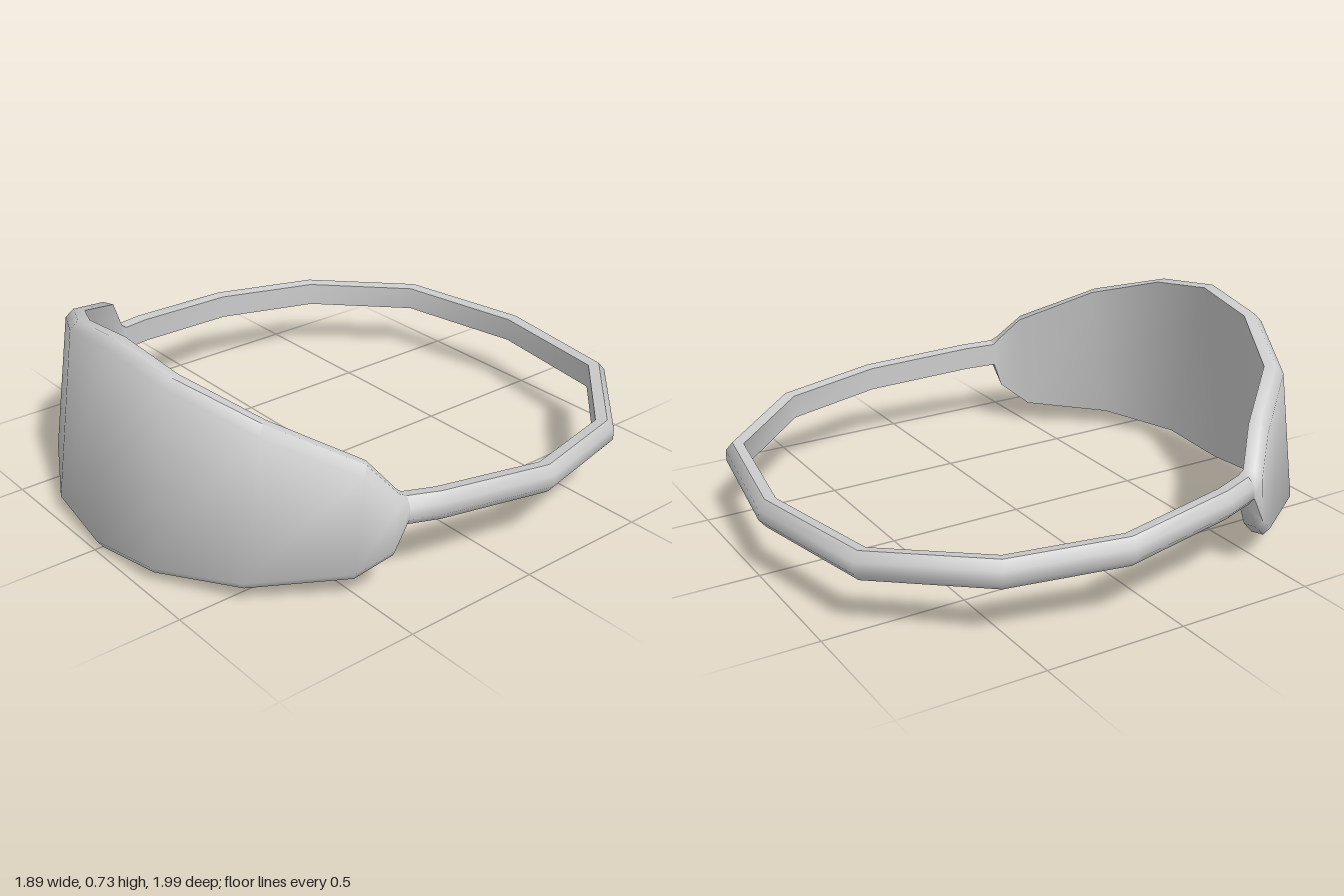
import * as THREE from 'three';
import { toCreasedNormals } from 'three/addons/utils/BufferGeometryUtils.js';

const THICK = 0.065, BEVEL = 0.03;

// Outer edge stations: [x, zTop, yTop, zBottom, yBottom]
const plateHalf = [
  [0, 0.895, 0.73, 0.995, 0.005],
  [0.28, 0.87, 0.692, 0.968, 0.035],
  [0.57, 0.73, 0.602, 0.815, 0.06],
  [0.775, 0.495, 0.47, 0.54, 0.085],
  [0.845, 0.42, 0.375, 0.44, 0.165],
  [0.852, 0.385, 0.36, 0.39, 0.26],
];

// The strap sinks slightly towards the back
const strapPlan = [
  [0.887, 0.27], [0.946, -0.15], [0.84, -0.56], [0.49, -0.915],
  [-0.03, -1], [-0.54, -0.9], [-0.845, -0.56], [-0.946, -0.15], [-0.887, 0.27],
];
const strapStation = ([x, z]) => {
  const y = z > -0.15 ? 0.27 + (z + 0.15) * 0.074 : 0.27 + (z + 0.15) * 0.035;
  return [x, z, y + 0.05, z, y - 0.05];
};

// Bevelled cross-section of a station, turned to follow the ring
function section(ring, i) {
  const n = ring.length, [x, zt, yt, zb, yb] = ring[i];
  const p = ring[(i + n - 1) % n], q = ring[(i + 1) % n];
  const dx = q[0] - p[0], dz = q[1] + q[3] - p[1] - p[3];
  const len = Math.hypot(dx, dz / 2);
  const nx = -dz / 2 / len, nz = dx / len;
  const at = (depth, y) => {
    const z = zb + (zt - zb) * (y - yb) / (yt - yb);
    return [x - nx * depth, y, z - nz * depth];
  };
  return [
    at(0, yb + BEVEL), at(0, yt - BEVEL), at(0.025, yt),
    at(THICK, yt - 0.006), at(THICK, yb + 0.006), at(0.025, yb),
  ];
}

// Skin consecutive sections into a band
function band(name, sections, material) {
  const m = sections[0].length, index = [];
  for (let i = 0; i < sections.length - 1; i++) {
    for (let j = 0; j < m; j++) {
      const k = (j + 1) % m;
      const a = i * m + j, b = a + m, c = (i + 1) * m + k, d = i * m + k;
      index.push(a, b, c, a, c, d);
    }
  }
  const geo = new THREE.BufferGeometry();
  geo.setAttribute('position', new THREE.Float32BufferAttribute(sections.flat(2), 3));
  geo.setIndex(index);
  const mesh = new THREE.Mesh(toCreasedNormals(geo, 1.0), material);
  mesh.name = name;
  return mesh;
}

export function createModel() {
  const group = new THREE.Group();
  group.name = 'headband';
  const material = new THREE.MeshStandardMaterial({ color: 0xcccccc });

  // Closed ring: left half of plate, strap round the back, right half of plate
  const rightHalf = plateHalf.slice(1).reverse().map(([x, zt, yt, zb, yb]) =>
    [-x, zt, x === 0.775 ? 0.5 : yt, zb, yb]);
  const ring = [...plateHalf, ...strapPlan.map(strapStation), ...rightHalf];
  const sections = ring.map((_, i) => section(ring, i));

  const end = plateHalf.length - 1, start = ring.length - end;
  group.add(
    band('frontPlate', [...sections.slice(start), ...sections.slice(0, end + 1)], material),
    band('strap', sections.slice(end, start + 1), material),
  );
  return group;
}
